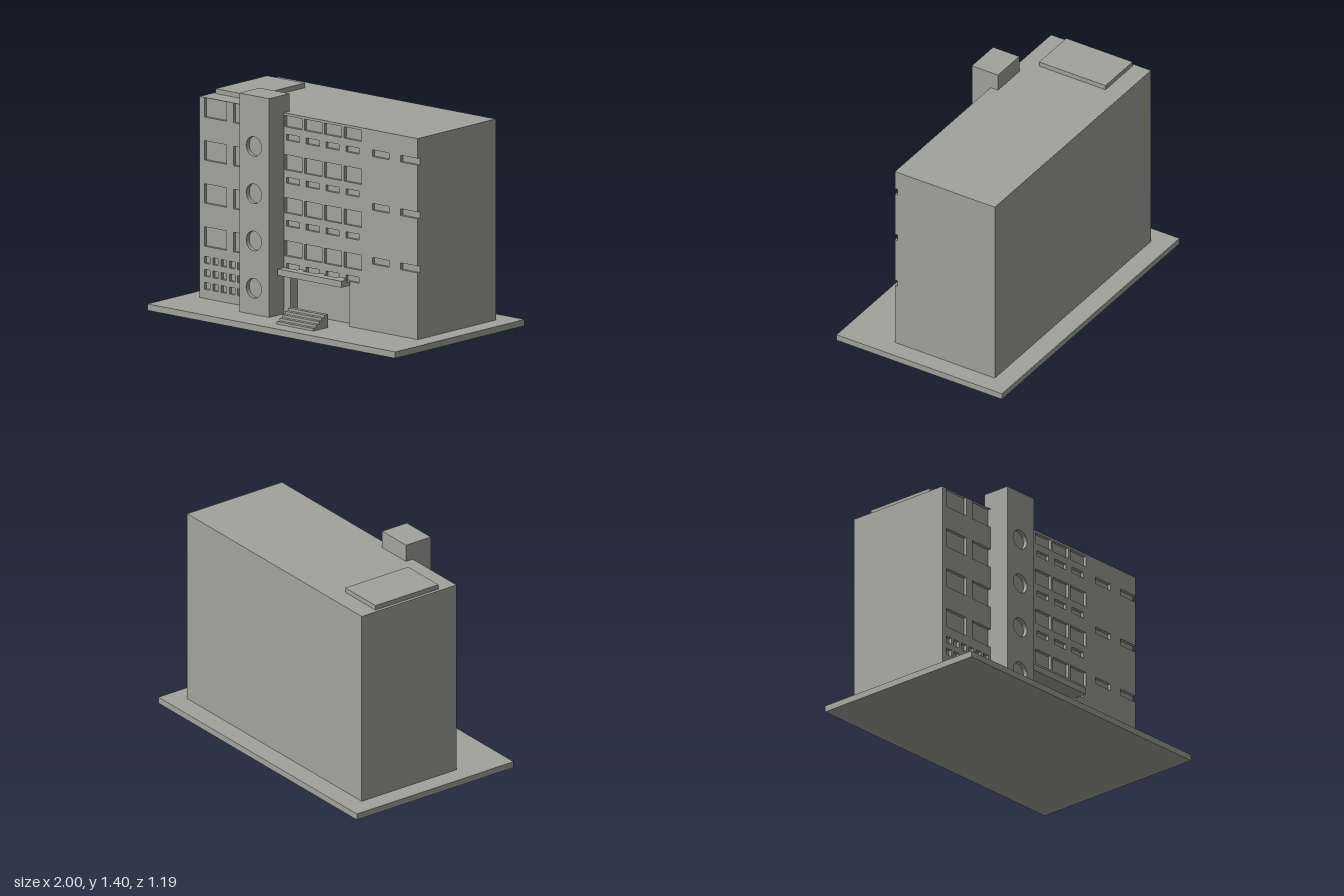
import * as THREE from 'three';

const concrete = new THREE.MeshStandardMaterial({ color: 0xa3a39d });
concrete.name = 'concrete';

// Box given by its minimum and maximum on each axis
function block(name, x0, x1, y0, y1, z0, z1) {
  const mesh = new THREE.Mesh(new THREE.BoxGeometry(x1 - x0, y1 - y0, z1 - z0), concrete);
  mesh.position.set((x0 + x1) / 2, (y0 + y1) / 2, (z0 + z1) / 2);
  mesh.name = name;
  return mesh;
}

// Upright slab cut from an x-y shape, between two z values
function slab(name, shape, z0, z1) {
  const geometry = new THREE.ExtrudeGeometry(shape, { depth: z1 - z0, bevelEnabled: false, curveSegments: 24 });
  const mesh = new THREE.Mesh(geometry, concrete);
  mesh.position.z = z0;
  mesh.name = name;
  return mesh;
}

const outline = (points) => new THREE.Shape(points.map(([x, y]) => new THREE.Vector2(x, y)));

function cutRect(shape, x, y, w, h) {
  shape.holes.push(new THREE.Path([[x, y], [x, y + h], [x + w, y + h], [x + w, y]]
    .map(([a, b]) => new THREE.Vector2(a, b))));
}

const GROUND = 0.04, ROOF = 1.29, SIDE = 0.88;
const BACK = -0.467, RECESS = 0.187, GLASS = 0.232, FRONT = 0.252;

// Facade edge with the entrance opening, and optional notches at the right-hand corner
function facadeShape(notches) {
  const points = [[-SIDE, GROUND], [-0.145, GROUND], [-0.145, 0.295], [0.328, 0.295], [0.328, GROUND], [SIDE, GROUND]];
  for (const y of notches) points.push([SIDE, y], [0.743, y], [0.743, y + 0.042], [SIDE, y + 0.042]);
  points.push([SIDE, ROOF], [-SIDE, ROOF]);
  return outline(points);
}

export function createModel() {
  const model = new THREE.Group();
  model.name = 'officeBuilding';

  model.add(block('basePlate', -1, 1, 0, GROUND, -0.595, 0.595));

  // Main volume and the layer that holds the entrance recess
  model.add(block('mainVolume', -SIDE, SIDE, GROUND, ROOF, BACK, RECESS));
  model.add(slab('entranceLayer', facadeShape([]), RECESS, GLASS));

  // Outer facade layer with all window openings
  const sideRows = [0.455, 0.791, 1.124];
  const facade = facadeShape(sideRows);
  for (const y of sideRows) cutRect(facade, 0.515, y, 0.135, 0.042);
  for (let row = 0; row < 4; row++) {
    const rise = row * 0.2675;
    cutRect(facade, -0.84, 0.365 + rise, 0.179, 0.121);
    cutRect(facade, -0.607, 0.365 + rise, 0.179, 0.121);
    for (let col = 0; col < 4; col++) {
      cutRect(facade, -0.193 + col * 0.16, 0.402 + rise, 0.14, row === 3 ? 0.07 : 0.095);
      cutRect(facade, -0.18 + col * 0.16, 0.32 + rise, 0.107, 0.037);
    }
  }
  for (let row = 0; row < 3; row++) {
    for (let col = 0; col < 6; col++) cutRect(facade, -0.84 + col * 0.067, 0.097 + row * 0.081, 0.044, 0.043);
  }
  model.add(slab('windowFacade', facade, GLASS, FRONT));

  // Stair tower with round windows
  const tower = new THREE.Group();
  tower.name = 'stairTower';
  const towerFront = outline([[-0.44, GROUND], [-0.2, GROUND], [-0.2, 1.4], [-0.44, 1.4]]);
  for (let i = 0; i < 4; i++) {
    const hole = new THREE.Path();
    hole.absarc(-0.323, 0.203 + i * 0.294, 0.061, 0, Math.PI * 2, true);
    towerFront.holes.push(hole);
  }
  tower.add(block('towerShaft', -0.44, -0.2, GROUND, 1.4, 0.2, 0.36));
  tower.add(slab('towerFront', towerFront, 0.36, 0.388));
  model.add(tower);

  // Raised roof slab
  model.add(block('roofSlab', -0.86, -0.555, ROOF, 1.32, -0.347, 0.13));

  // Entrance canopy, notched along the wall below the lowest window strip
  const low = 0.295, notch = 0.32, high = 0.335;
  const rear = outline([
    [-0.18, low], [0.335, low], [0.335, notch], [0.3, notch], [0.3, high],
    [0.247, high], [0.247, notch], [0.14, notch], [0.14, high],
    [0.087, high], [0.087, notch], [-0.02, notch], [-0.02, high],
    [-0.073, high], [-0.073, notch], [-0.18, notch],
  ]);
  const canopy = new THREE.Group();
  canopy.name = 'canopy';
  canopy.add(slab('canopyRear', rear, FRONT, 0.275));
  canopy.add(block('canopyFront', -0.18, 0.335, low, high, 0.275, 0.332));
  model.add(canopy);

  // Entrance steps
  const steps = new THREE.Group();
  steps.name = 'entranceSteps';
  for (let i = 0; i < 5; i++) {
    const y = GROUND + i * 0.0166;
    steps.add(block('step', -0.045, 0.25, y, y + 0.0166, 0.36, 0.494 - i * 0.026));
  }
  model.add(steps);

  return model;
}
